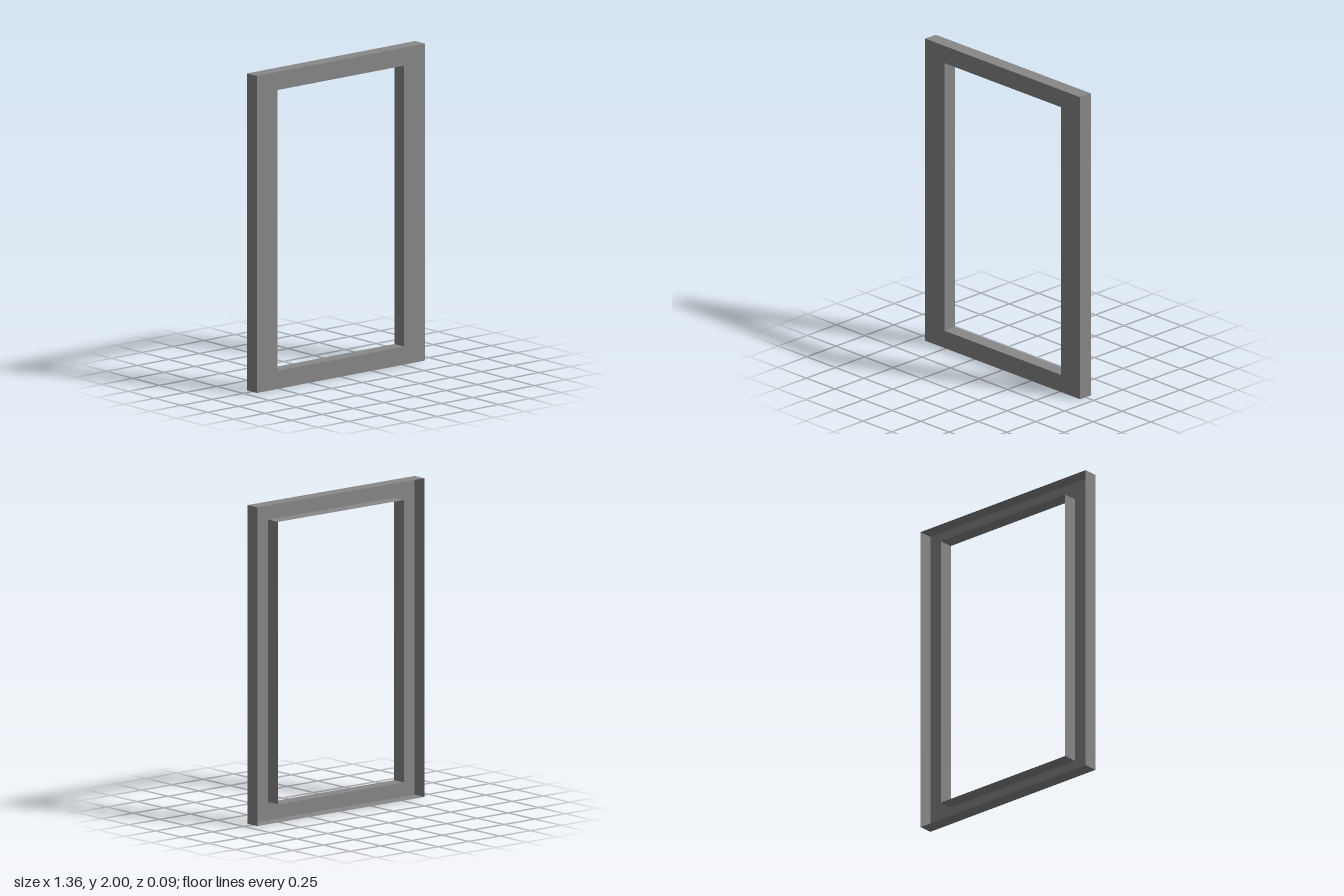
import * as THREE from 'three';

const OUTER = { w: 1.358, h: 2 };
const INNER = { w: 1.022, h: 1.772 };
const DEPTH = 0.092;

// Thin dark grey sheet, seen from both sides
const material = new THREE.MeshStandardMaterial({
  color: 0x888888, flatShading: true, side: THREE.DoubleSide,
});

// Traces a centred rectangle on a shape or path
function rectangle(path, { w, h }) {
  path.moveTo(-w / 2, -h / 2);
  path.lineTo(w / 2, -h / 2);
  path.lineTo(w / 2, h / 2);
  path.lineTo(-w / 2, h / 2);
  path.closePath();
  return path;
}

// Four thin walls around a rectangle, running the full depth;
// dir is 1 when they face outwards, -1 when they face the opening
function wallLoop(name, { w, h }, dir) {
  const loop = new THREE.Group();
  loop.name = name;
  for (const side of [-1, 1]) {
    const upright = new THREE.Mesh(new THREE.PlaneGeometry(DEPTH, h), material);
    upright.name = name + (side > 0 ? 'Left' : 'Right');
    upright.rotation.y = side * dir * Math.PI / 2;
    upright.position.x = side * w / 2;

    const level = new THREE.Mesh(new THREE.PlaneGeometry(w, DEPTH), material);
    level.name = name + (side > 0 ? 'Top' : 'Bottom');
    level.rotation.x = -side * dir * Math.PI / 2;
    level.position.y = side * h / 2;
    loop.add(upright, level);
  }
  return loop;
}

export function createModel() {
  const frame = new THREE.Group();
  frame.name = 'frame';

  // Front panel with its opening; the back stays open
  const shape = rectangle(new THREE.Shape(), OUTER);
  shape.holes.push(rectangle(new THREE.Path(), INNER));
  const panel = new THREE.Mesh(new THREE.ShapeGeometry(shape), material);
  panel.name = 'frontPanel';
  panel.position.z = DEPTH / 2;

  // Outer rim and the return around the opening
  frame.add(panel, wallLoop('outerWall', OUTER, 1), wallLoop('openingWall', INNER, -1));
  frame.position.y = OUTER.h / 2;

  const model = new THREE.Group();
  model.name = 'hollowFrame';
  model.add(frame);
  return model;
}
